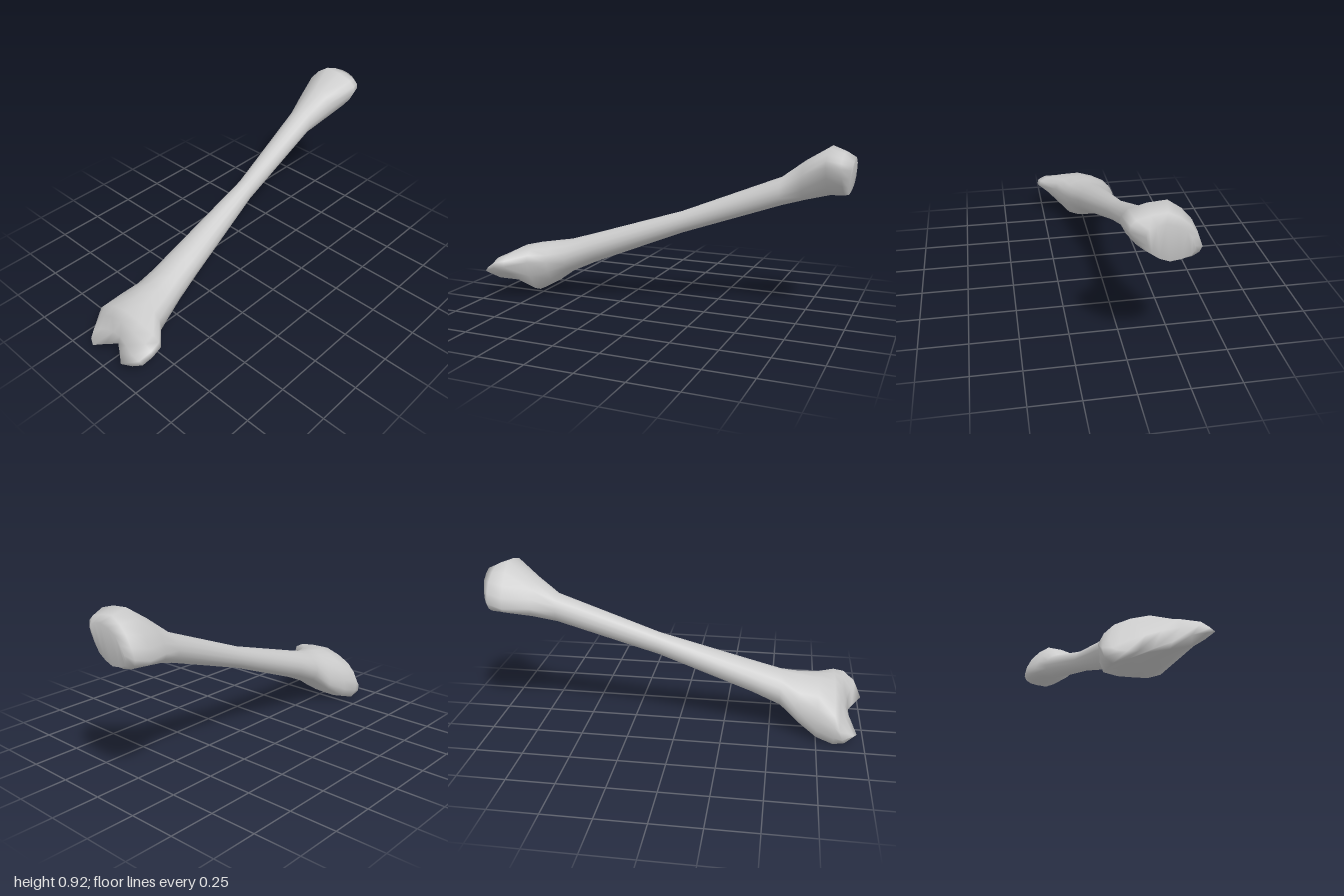
import * as THREE from 'three';

const N = 16; // points around each cross-section

// Closed cross-section through 8 control points, counter-clockwise from the +x side.
// z is one depth for the whole section, or one per control point.
function section(z, xy) {
  const pts = xy.map(([x, y], i) => new THREE.Vector3(x, y, Array.isArray(z) ? z[i] : z));
  const curve = new THREE.CatmullRomCurve3(pts, true, 'catmullrom', 0.4);
  return Array.from({ length: N }, (_, i) => curve.getPoint(i / N));
}

// Elliptical cross-section given by its extents
function oval(z, x0, x1, y0, y1) {
  return Array.from({ length: N }, (_, i) => {
    const a = (i / N) * Math.PI * 2;
    return new THREE.Vector3(
      (x0 + x1) / 2 + Math.cos(a) * (x1 - x0) / 2,
      (y0 + y1) / 2 + Math.sin(a) * (y1 - y0) / 2, z);
  });
}

// Skin the sections and close both ends by bridging upper rim to lower rim
function loft(rings) {
  const index = [];
  const quad = (a, b, c, d) => index.push(a, b, c, a, c, d);
  for (let s = 0; s < rings.length - 1; s++) {
    for (let i = 0; i < N; i++) {
      const j = (i + 1) % N;
      quad(s * N + i, s * N + j, (s + 1) * N + j, (s + 1) * N + i);
    }
  }
  const cap = (o, flip) => {
    for (let k = 0; k < N / 2; k++) {
      const c = [k, k + 1, N - k - 1, (N - k) % N].filter((v, i, l) => l.indexOf(v) === i);
      if (flip) c.reverse();
      for (let i = 1; i < c.length - 1; i++) index.push(o + c[0], o + c[i], o + c[i + 1]);
    }
  };
  cap(0, true);
  cap((rings.length - 1) * N, false);
  const geo = new THREE.BufferGeometry().setFromPoints(rings.flat());
  geo.setIndex(index);
  geo.computeVertexNormals();
  return geo;
}

export function createModel() {
  // Raised rear head
  const rearHead = [
    section([-0.99, -1, -1, -0.995, -0.985, -0.975, -0.97, -0.975],
      [[-0.02, 0.81], [-0.03, 0.85], [-0.1, 0.87], [-0.19, 0.83], [-0.23, 0.75], [-0.22, 0.7], [-0.13, 0.675], [-0.05, 0.72]]),
    section([-0.95, -0.95, -0.95, -0.96, -0.96, -0.95, -0.95, -0.95],
      [[0.04, 0.82], [0.015, 0.87], [-0.12, 0.895], [-0.22, 0.83], [-0.27, 0.73], [-0.23, 0.68], [-0.12, 0.67], [-0.02, 0.73]]),
    section(-0.88,
      [[0.07, 0.83], [0.035, 0.89], [-0.13, 0.92], [-0.24, 0.82], [-0.28, 0.71], [-0.22, 0.67], [-0.11, 0.67], [0, 0.72]]),
    section(-0.75,
      [[0, 0.74], [-0.03, 0.81], [-0.11, 0.84], [-0.19, 0.79], [-0.235, 0.7], [-0.2, 0.65], [-0.12, 0.635], [-0.04, 0.66]]),
  ];
  // Slender shaft
  const shaft = [
    oval(-0.63, -0.187, -0.04, 0.6, 0.75),
    oval(-0.1, -0.115, -0.01, 0.42, 0.54),
    oval(0.4, -0.118, 0.075, 0.22, 0.385),
    oval(0.55, -0.12, 0.1, 0.15, 0.34),
  ];
  // Flared front head ending in two knuckles with a notch between them
  const frontHead = [
    section(0.65,
      [[0.13, 0.22], [0.1, 0.295], [-0.01, 0.322], [-0.11, 0.26], [-0.14, 0.17], [-0.13, 0.1], [-0.03, 0.08], [0.08, 0.11]]),
    section(0.75,
      [[0.175, 0.22], [0.13, 0.285], [0, 0.305], [-0.12, 0.25], [-0.18, 0.14], [-0.165, 0.035], [-0.03, 0.025], [0.09, 0.05]]),
    section(0.84,
      [[0.27, 0.21], [0.22, 0.265], [0.02, 0.285], [-0.14, 0.22], [-0.21, 0.12], [-0.175, 0.005], [-0.03, 0.05], [0.14, 0.11]]),
    section([0.9, 0.9, 0.88, 0.87, 0.87, 0.9, 0.88, 0.93],
      [[0.28, 0.2], [0.23, 0.25], [0.03, 0.25], [-0.12, 0.18], [-0.2, 0.09], [-0.165, 0.01], [-0.01, 0.085], [0.17, 0.115]]),
    section([0.955, 0.96, 0.91, 0.895, 0.92, 0.965, 0.9, 0.995],
      [[0.27, 0.18], [0.2, 0.2], [0.05, 0.18], [-0.08, 0.13], [-0.17, 0.07], [-0.12, 0.04], [0.01, 0.095], [0.15, 0.13]]),
  ];

  const bone = new THREE.Mesh(
    loft([...rearHead, ...shaft, ...frontHead]),
    new THREE.MeshStandardMaterial({ color: 0xcccccc }));
  bone.name = 'bone';
  const group = new THREE.Group();
  group.name = 'longBone';
  group.add(bone);
  return group;
}
